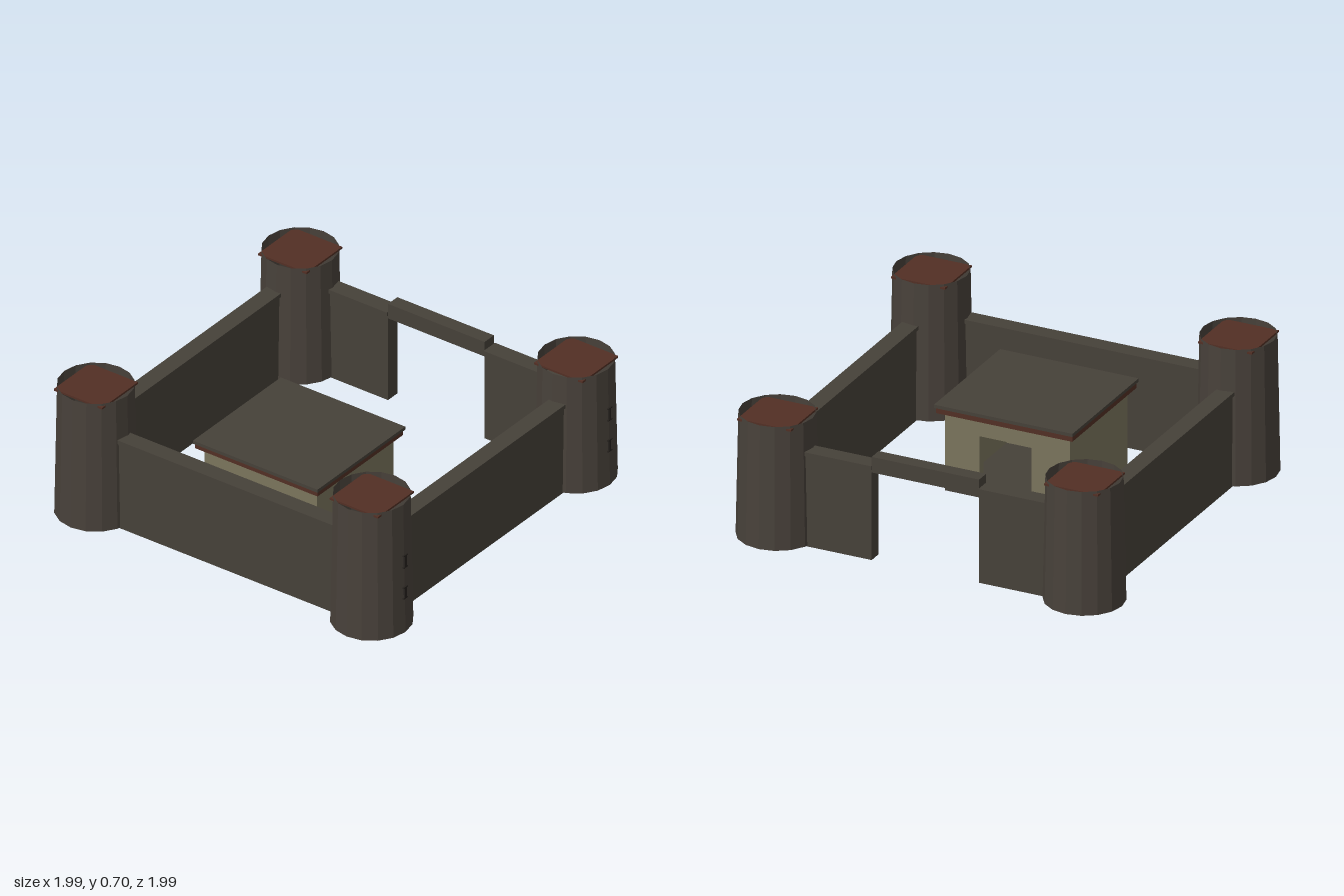
import * as THREE from 'three';

const mat = (name, color, extra = {}) => {
  const m = new THREE.MeshStandardMaterial({ color, ...extra });
  m.name = name;
  return m;
};

export function createModel() {
  const root = new THREE.Group();
  root.name = 'fort';
  const towerStone = mat('towerStone', 0x48413a, { flatShading: true, side: THREE.DoubleSide });
  const wallStone = mat('wallStone', 0x464139);
  const wood = mat('redBrownWood', 0x522f24);
  const plaster = mat('plaster', 0x7a745c);
  const dark = mat('slitDark', 0x25211d);

  // Box given by its lower and upper limits on each axis
  const box = (parent, name, material, [x0, x1], [y0, y1], [z0, z1]) => {
    const mesh = new THREE.Mesh(new THREE.BoxGeometry(x1 - x0, y1 - y0, z1 - z0), material);
    mesh.position.set((x0 + x1) / 2, (y0 + y1) / 2, (z0 + z1) / 2);
    mesh.name = name;
    parent.add(mesh);
    return mesh;
  };

  // Corner towers: open tapered shells with a square platform near the top
  for (const sx of [-1, 1]) {
    for (const sz of [-1, 1]) {
      const tower = new THREE.Group();
      tower.name = 'tower';
      tower.position.set(sx * 0.8, 0, sz * 0.8);
      const h = sx < 0 ? 0.70 : 0.635;
      const shell = new THREE.Mesh(
        new THREE.CylinderGeometry(0.183, 0.196, h - 0.005, 16, 1, true), towerStone);
      shell.position.y = (h + 0.005) / 2;
      shell.name = 'towerShell';
      tower.add(shell);
      box(tower, 'towerPlatform', wood, [-0.14, 0.14], [h - 0.022, h - 0.012], [-0.14, 0.14]);

      // Arrow slits on the front towers
      if (sz > 0) {
        for (const [y0, y1] of [[0.19, 0.255], [0.36, 0.43]]) {
          box(tower, 'arrowSlit', dark, [-0.007, 0.007], [y0, y1], [0.19, 0.198]);
          for (const y of [y0, y1 - 0.006]) {
            box(tower, 'arrowSlitBar', dark, [-0.016, 0.016], [y, y + 0.006], [0.19, 0.198]);
          }
        }
      }
      root.add(tower);
    }
  }

  // Curtain walls: a body with a slightly wider coping
  const IN = 0.785, OUT = 0.858, LIP = 0.008, BODY = 0.465, TOP = 0.485;
  for (const s of [-1, 1]) {
    const range = (a, b) => (s > 0 ? [a, b] : [-b, -a]);
    box(root, s > 0 ? 'frontWall' : 'backWall', wallStone, [-OUT, OUT], [0, BODY], range(IN, OUT));
    box(root, 'wallCoping', wallStone, [-0.8, 0.8], [BODY, TOP], range(IN - LIP, OUT + LIP));

    // Right-hand row is split in two by the gate
    box(root, 'gateWall', wallStone, [IN, OUT], [0, BODY], range(0.28, IN));
    box(root, 'gateWallCoping', wallStone, [IN - LIP, OUT + LIP], [BODY, TOP], range(0.28, 0.8));
  }
  box(root, 'sideWall', wallStone, [-OUT, -IN], [0, BODY], [-IN, IN]);
  box(root, 'sideWallCoping', wallStone, [-OUT - LIP, -IN + LIP], [BODY, TOP], [-0.8, 0.8]);
  box(root, 'gateLintel', wallStone, [IN, OUT], [0.45, 0.53], [-0.28, 0.28]);

  // Hollow house with an open doorway facing the gate
  const house = new THREE.Group();
  house.name = 'house';
  root.add(house);
  const X = [-0.575, 0.025], Z = [-0.335, 0.315], Y = [0.025, 0.41], T = 0.04;
  box(house, 'houseFloor', wallStone, X, [0.005, Y[0]], Z);
  box(house, 'houseRearWall', plaster, [X[0], X[0] + T], Y, Z);
  box(house, 'houseSideWall', plaster, [X[0] + T, X[1] - T], Y, [Z[0], Z[0] + T]);
  box(house, 'houseSideWall', plaster, [X[0] + T, X[1] - T], Y, [Z[1] - T, Z[1]]);
  const door = [-0.135, 0.135], face = [X[1] - T, X[1]];
  box(house, 'doorWall', plaster, face, Y, [Z[0], door[0]]);
  box(house, 'doorWall', plaster, face, Y, [door[1], Z[1]]);
  box(house, 'doorHead', plaster, face, [0.32, Y[1]], door);

  // Flat roof: timber frame under a stone-coloured cover
  box(house, 'roofFrame', wood, [-0.61, 0.06], [0.41, 0.438], [-0.365, 0.345]);
  box(house, 'roofCover', wallStone, [-0.62, 0.067], [0.438, 0.455], [-0.37, 0.352]);

  return root;
}
